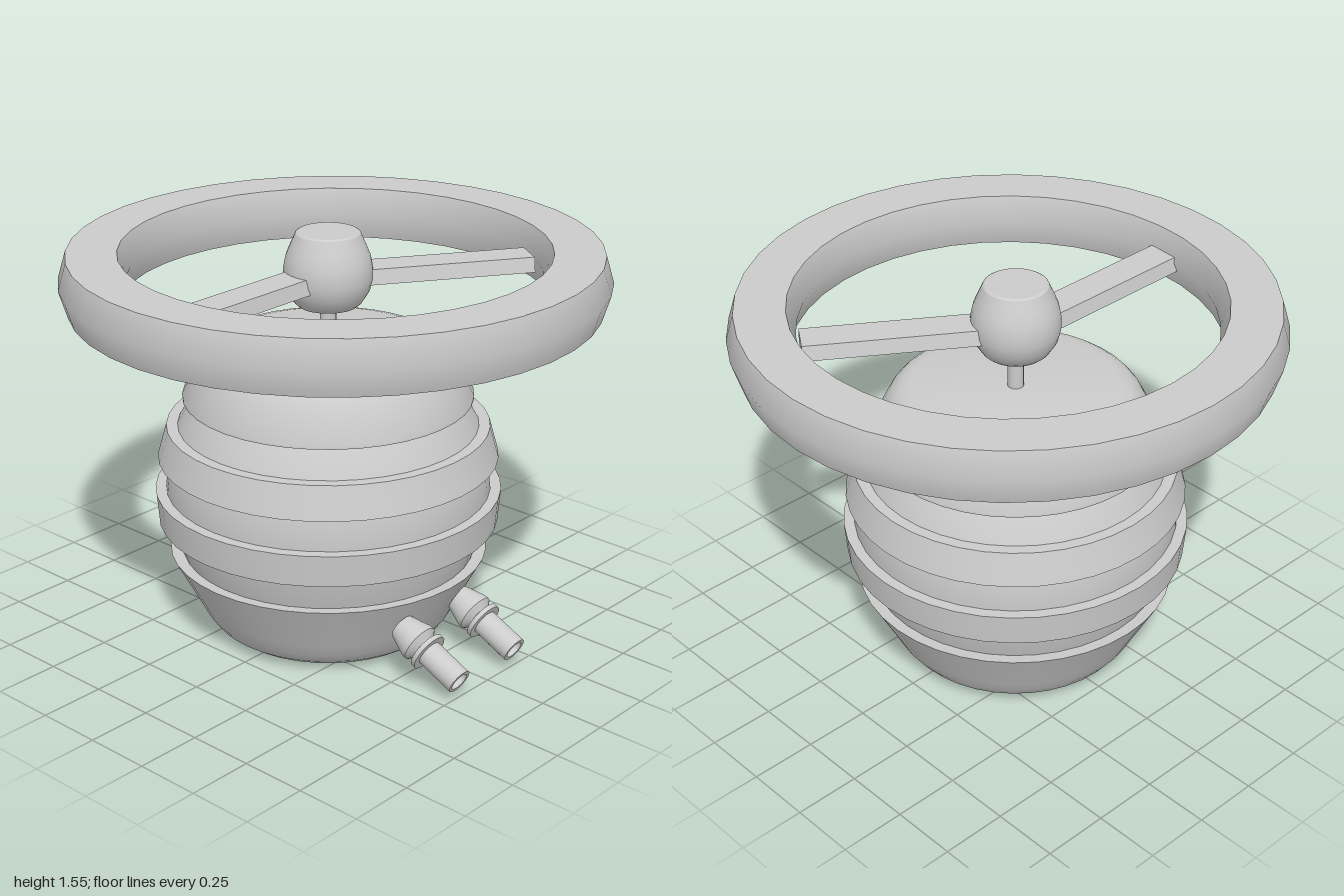
import * as THREE from 'three';
import { toCreasedNormals } from 'three/addons/utils/BufferGeometryUtils.js';

const material = new THREE.MeshStandardMaterial({ color: 0xcccccc });

function mesh(name, geometry) {
  const m = new THREE.Mesh(geometry, material);
  m.name = name;
  return m;
}

// Turned part from [radius, height] pairs, listed from the bottom up the outside
function turned(name, profile, sides = 40, crease = 0.5) {
  const points = profile.map(([r, y]) => new THREE.Vector2(r, y));
  return mesh(name, toCreasedNormals(new THREE.LatheGeometry(points, sides), crease));
}

// Flat bar along +z with a slightly narrower top
function spoke(name, length, angle, x, z) {
  const section = new THREE.Shape([[-0.075, 0], [0.075, 0], [0.062, 0.055], [-0.062, 0.055]]
    .map(([px, py]) => new THREE.Vector2(px, py)));
  const bar = mesh(name, new THREE.ExtrudeGeometry(section, { depth: length, bevelEnabled: false }));
  bar.position.set(x, 1.355, z);
  bar.rotation.y = angle;
  return bar;
}

export function createModel() {
  const model = new THREE.Group();
  model.name = 'handwheelVessel';

  // Vessel, stem and hub share a slightly offset axis
  const core = new THREE.Group();
  core.name = 'core';
  core.position.set(-0.023, 0, 0.015);
  model.add(core);

  core.add(turned('bowl', [
    [0, 0], [0.37, 0.003], [0.41, 0.015], [0.445, 0.04], [0.475, 0.08], [0.5, 0.13],
    [0.6, 0.32], [0.555, 0.315], [0, 0.315],
  ]));
  core.add(turned('barrel', [
    [0, 0.29], [0.545, 0.29], [0.597, 0.45], [0.61, 0.57], [0.595, 0.7], [0.56, 0.82],
    [0.495, 0.93], [0, 0.93],
  ]));
  core.add(turned('lowerBand', [
    [0.58, 0.445], [0.64, 0.445], [0.65, 0.567], [0.6, 0.567],
  ]));
  core.add(turned('upperBand', [
    [0.58, 0.695], [0.637, 0.695], [0.603, 0.817], [0.55, 0.817],
  ]));
  core.add(turned('cap', [
    [0, 0.925], [0.54, 0.925], [0.54, 0.935], [0.482, 1.05], [0.468, 1.075], [0.447, 1.1],
    [0.42, 1.12], [0.385, 1.129], [0, 1.13],
  ]));
  core.add(turned('stem', [[0, 1.1], [0.03, 1.1], [0.03, 1.32], [0, 1.32]], 16));
  core.add(turned('hub', [
    [0, 1.272], [0.11, 1.274], [0.125, 1.287], [0.152, 1.33], [0.163, 1.375], [0.162, 1.42],
    [0.154, 1.46], [0.14, 1.495], [0.118, 1.545], [0.11, 1.55], [0, 1.55],
  ], 32));

  // Wheel rim with angled outer and inner faces
  model.add(turned('wheelRim', [
    [0.785, 1.29], [0.97, 1.29], [1, 1.39], [0.97, 1.49], [0.785, 1.49], [0.755, 1.39], [0.785, 1.29],
  ], 40, 0.65));
  model.add(spoke('frontSpoke', 0.765, 0, -0.046, 0.01));
  model.add(spoke('rearSpoke', 0.76, THREE.MathUtils.degToRad(146.3), -0.023, 0.005));

  // Pair of hollow nozzles sloping down on the left side
  for (const [name, z] of [['frontNozzle', 0.185], ['rearNozzle', -0.135]]) {
    const nozzle = turned(name, [
      [0, -0.135], [0.05, -0.135], [0.074, -0.055], [0.074, -0.04], [0.045, -0.018],
      [0.045, -0.008], [0.075, -0.008], [0.075, 0.01], [0.05, 0.01], [0.05, 0.165],
      [0.036, 0.165], [0.036, 0.03], [0, 0.03],
    ], 20);
    nozzle.position.set(0.615, 0.145, z);
    nozzle.rotation.z = THREE.MathUtils.degToRad(-115);
    model.add(nozzle);
  }

  return model;
}
